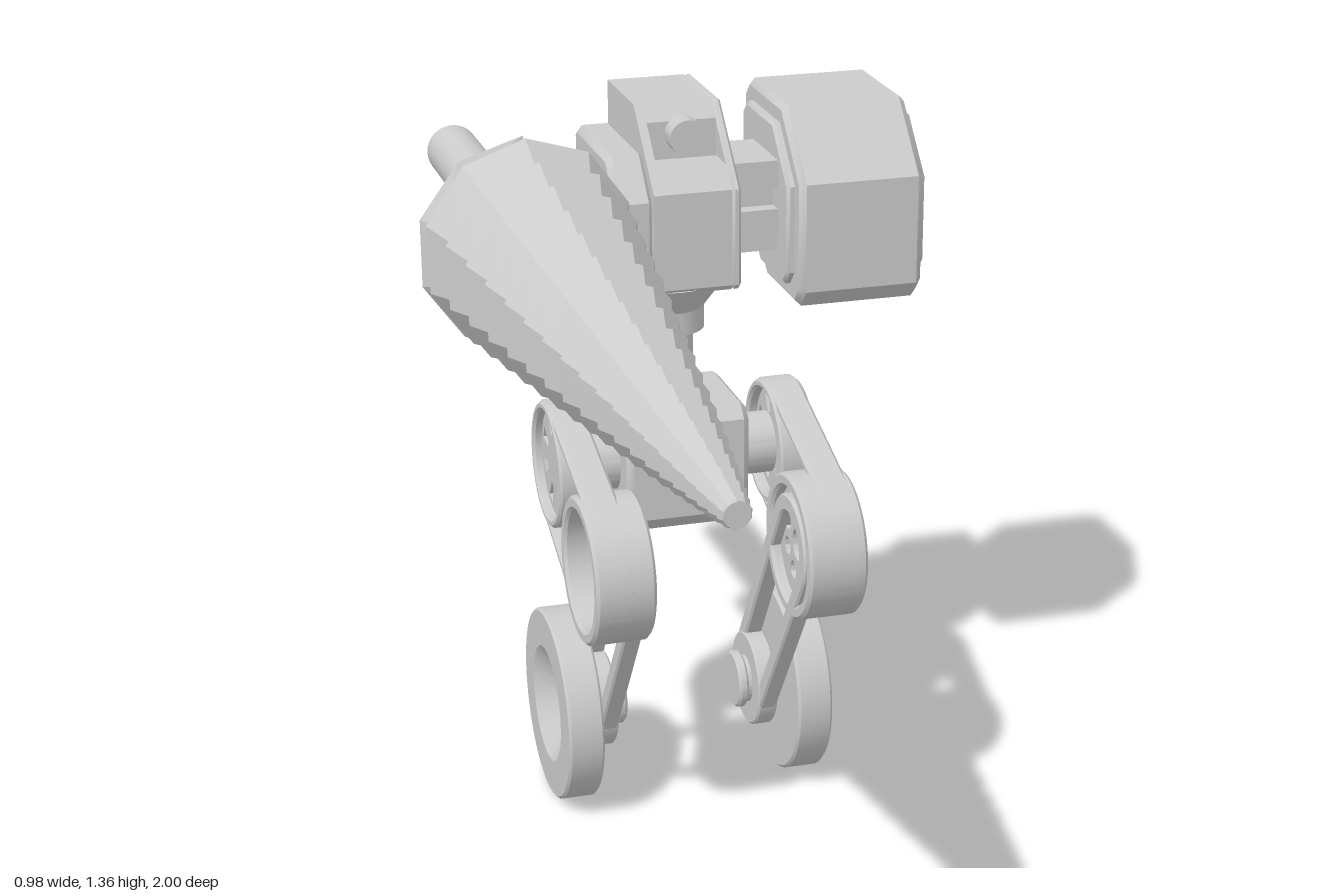
import * as THREE from 'three';
import { toCreasedNormals } from 'three/addons/utils/BufferGeometryUtils.js';

const grey = new THREE.MeshStandardMaterial({ color: 0xcccccc });
const greyFlat = new THREE.MeshStandardMaterial({ color: 0xcccccc, flatShading: true, side: THREE.DoubleSide });

function part(parent, name, geo, material = grey) {
  const mesh = new THREE.Mesh(material === grey ? toCreasedNormals(geo, 0.6) : geo, material);
  mesh.name = name;
  parent.add(mesh);
  return mesh;
}

// Side profiles are given as [z, y]; shapes are drawn with -z along their x.
const sideShape = pts => new THREE.Shape(pts.map(([z, y]) => new THREE.Vector2(-z, y)));

// Extrude a side shape between two x positions, with an optional bevel.
function slab(shape, xa, xb, bevel = 0) {
  const x0 = Math.min(xa, xb), w = Math.abs(xb - xa);
  const geo = new THREE.ExtrudeGeometry(shape, {
    depth: w - 2 * bevel, curveSegments: 24, bevelEnabled: bevel > 0,
    bevelSize: bevel, bevelThickness: bevel, bevelOffset: -bevel, bevelSegments: 1,
  });
  return geo.translate(0, 0, bevel).rotateY(Math.PI / 2).translate(x0, 0, 0);
}

function box(x0, x1, y0, y1, z0, z1) {
  return new THREE.BoxGeometry(x1 - x0, y1 - y0, z1 - z0)
    .translate((x0 + x1) / 2, (y0 + y1) / 2, (z0 + z1) / 2);
}

function disc([z, y], r, holeR = 0) {
  const s = new THREE.Shape().absarc(-z, y, r, 0, Math.PI * 2);
  if (holeR) s.holes.push(new THREE.Path().absarc(-z, y, holeR, 0, Math.PI * 2));
  return s;
}

// Outline wrapped around two circles, like a belt round two pulleys.
function wrap(path, [za, ya], ra, [zb, yb], rb) {
  const dx = za - zb, dy = yb - ya;
  const dir = Math.atan2(dy, dx), a = Math.acos((ra - rb) / Math.hypot(dx, dy));
  path.absarc(-zb, yb, rb, dir - a, dir + a);
  path.absarc(-za, ya, ra, dir + a, dir - a + Math.PI * 2);
  path.closePath();
  return path;
}

function belt(a, ra, b, rb, t) {
  const s = wrap(new THREE.Shape(), a, ra, b, rb);
  s.holes.push(wrap(new THREE.Path(), a, ra - t, b, rb - t));
  return s;
}

const hip = [-0.415, 0.695], knee = [-0.14, 0.59], hub = [-0.405, 0.195];

function makeLeg(s) {
  const g = new THREE.Group();
  g.name = s > 0 ? 'leftLeg' : 'rightLeg';
  const add = (name, shape, a, b, bevel) => part(g, name, slab(shape, s * a, s * b, bevel));

  add('hipAxle', disc([-0.415, 0.695], 0.06), 0.11, 0.19);
  add('upperLegBelt', belt(hip, 0.125, knee, 0.14, 0.02), 0.185, 0.25, 0.006);
  add('hipRing', disc(hip, 0.122, 0.105), 0.18, 0.253, 0.005);
  add('kneeDrum', disc(knee, 0.14, 0.113), 0.145, 0.258, 0.006);

  // Hip pulley with radial slots, knee pulley with round holes
  const slotted = disc(hip, 0.108), pierced = disc(knee, 0.116, 0.032);
  for (let i = 0; i < 8; i++) {
    const a = (i + 0.5) * Math.PI / 4, c = Math.cos(a), d = Math.sin(a);
    const at = (r, w) => new THREE.Vector2(-hip[0] + r * c - w * d, hip[1] + r * d + w * c);
    slotted.holes.push(new THREE.Path([at(0.055, -0.007), at(0.092, -0.013), at(0.092, 0.013), at(0.055, 0.007)]));
    pierced.holes.push(new THREE.Path().absarc(-knee[0] + 0.066 * c, knee[1] + 0.066 * d, 0.017, 0, Math.PI * 2));
  }
  add('hipPulley', slotted, 0.2, 0.235);
  add('kneePulley', pierced, 0.165, 0.205);

  // Twin-bar lower leg, axle and dished wheel
  add('lowerLeg', belt(knee, 0.1, hub, 0.09, 0.034), 0.145, 0.18, 0.004);
  add('hubRing', disc(hub, 0.095, 0.045), 0.143, 0.182, 0.004);
  add('wheelAxle', disc(hub, 0.048), 0.13, 0.2);
  add('axleCap', disc(hub, 0.057), 0.115, 0.135, 0.005);
  const profile = [[0, 0.195], [0.185, 0.195], [0.19, 0.2], [0.19, 0.26], [0.185, 0.265], [0.115, 0.265], [0.047, 0.215], [0, 0.215]];
  const wheel = new THREE.LatheGeometry(profile.map(p => new THREE.Vector2(...p)), 48);
  part(g, 'wheel', wheel.rotateZ(-s * Math.PI / 2).translate(0, hub[1], hub[0]));
  g.position.x = -0.005;
  return g;
}

// Ten-sided drill cone: one sawtooth thread wound round the z axis with a pitch that grows to the rear.
function makeDrill() {
  const g = new THREE.Group();
  g.name = 'drill';
  const sides = 10, turns = 19, back = -0.335;
  const zAt = t => Math.min(1, Math.max(back, 1 - 0.025 * t - 0.045 * t * t / turns));
  const rAt = z => 0.02 + 0.157 * Math.pow((1 - z) / (1 - back), 0.9);
  const vertex = (i, crest) => {
    const t = i / sides, a = Math.PI / 2 - t * Math.PI * 2;
    const z = crest ? zAt(t + 0.92) : zAt(t);
    const r = rAt(z) * (crest ? 1.15 : 1);
    return [r * Math.cos(a), r * Math.sin(a), z];
  };
  const pos = [];
  const quad = (a, b, c, d) => pos.push(...a, ...b, ...c, ...a, ...c, ...d);
  for (let i = -sides; i < turns * sides; i++) {
    const v0 = vertex(i, false), v1 = vertex(i + 1, false), c0 = vertex(i, true), c1 = vertex(i + 1, true);
    quad(v0, v1, c1, c0);
    quad(c0, c1, vertex(i + sides + 1, false), vertex(i + sides, false));
  }
  const geo = new THREE.BufferGeometry();
  geo.setAttribute('position', new THREE.Float32BufferAttribute(pos, 3));
  geo.computeVertexNormals();
  part(g, 'drillThread', geo, greyFlat);

  // Hollow inside with a thin rim, and the blunt tip
  const inner = [[0.18, back], [0.163, back], [0.02, 0.9]].map(p => new THREE.Vector2(...p));
  part(g, 'drillLining', new THREE.LatheGeometry(inner, 30).rotateX(Math.PI / 2), greyFlat);
  part(g, 'drillTip', new THREE.CylinderGeometry(0.021, 0.024, 0.04, 16).rotateX(Math.PI / 2).translate(0, 0, 0.98));
  part(g, 'driveRod', new THREE.CylinderGeometry(0.052, 0.052, 1.1, 32).rotateX(Math.PI / 2).translate(0, 0, -0.45));
  g.position.set(-0.3, 1.16, 0);
  return g;
}

function makeHead() {
  const g = new THREE.Group();
  g.name = 'head';
  const outline = [[-0.35, 1.04], [-0.35, 1.225], [-0.49, 1.363], [-0.685, 1.363], [-0.685, 1.16], [-0.57, 1.03], [-0.36, 1.03]];
  const notched = [[-0.352, 1.04], [-0.352, 1.225], [-0.388, 1.262], [-0.46, 1.262], [-0.46, 1.334], [-0.49, 1.363],
    [-0.685, 1.363], [-0.685, 1.16], [-0.57, 1.03], [-0.36, 1.03]];
  const lower = [[-0.36, 1.04], [-0.36, 1.21], [-0.43, 1.285], [-0.66, 1.285], [-0.675, 1.27], [-0.675, 1.16], [-0.56, 1.035], [-0.37, 1.035]];
  part(g, 'headRightCheek', slab(sideShape(outline), -0.055, -0.038));
  part(g, 'headCore', slab(sideShape(notched), -0.038, 0.096));
  part(g, 'headLeftCheek', slab(sideShape(outline), 0.096, 0.113, 0.005));
  part(g, 'headSidePod', slab(sideShape(lower), -0.125, -0.05, 0.012));
  part(g, 'eye', new THREE.CylinderGeometry(0.034, 0.034, 0.05, 24).rotateX(Math.PI / 2).translate(0.03, 1.31, -0.445));

  // Clamp arm reaching out to the drive rod
  const arm = new THREE.Shape([[-0.365, 0.48], [-0.235, 0.48], [-0.12, 0.44], [-0.12, 0.65], [-0.235, 0.605], [-0.365, 0.605]]
    .map(p => new THREE.Vector2(...p)));
  for (const y of [1.09, 1.2]) {
    const plate = new THREE.ExtrudeGeometry(arm, { depth: 0.035, bevelEnabled: false });
    part(g, 'clampPlate', plate.rotateX(-Math.PI / 2).translate(0, y, 0));
  }
  part(g, 'clampBlock', box(-0.255, -0.12, 1.115, 1.21, -0.595, -0.49));
  part(g, 'clampEnd', box(-0.365, -0.34, 1.1, 1.225, -0.6, -0.485));
  part(g, 'clampBrace', box(-0.235, -0.12, 1.1, 1.18, -0.445, -0.365));

  // Motor on the other side, carried by rails
  part(g, 'motorUpperRail', box(0.11, 0.23, 1.19, 1.245, -0.61, -0.45));
  part(g, 'motorCoreRail', box(0.11, 0.23, 1.15, 1.19, -0.58, -0.48));
  part(g, 'motorLowerRail', box(0.11, 0.23, 1.07, 1.15, -0.61, -0.45));
  const casing = k => sideShape([[-0.355, 1.01], [-0.355, 1.22], [-0.475, 1.345], [-0.69, 1.345], [-0.72, 1.315],
    [-0.72, 1.13], [-0.57, 0.975], [-0.385, 0.975]]
    .map(([z, y]) => [-0.5375 + (z + 0.5375) * k, 1.16 + (y - 1.16) * k]));
  part(g, 'motorCasing', slab(casing(1), 0.23, 0.475, 0.012));
  part(g, 'motorEndPlates', slab(casing(0.8), 0.215, 0.49, 0.006));
  return g;
}

export function createModel() {
  const model = new THREE.Group();
  model.name = 'drillWalker';
  model.add(makeHead(), makeDrill(), makeLeg(1), makeLeg(-1));

  // Neck: funnel, collar and post
  const rings = [[0, 0.8], [0.053, 0.8], [0.053, 0.935], [0.075, 0.935], [0.075, 0.98], [0.115, 1.035], [0, 1.035]];
  part(model, 'neck', new THREE.LatheGeometry(rings.map(p => new THREE.Vector2(...p)), 32).translate(-0.005, 0, -0.465));

  // Hip body
  const body = [[-0.3, 0.605], [-0.3, 0.79], [-0.325, 0.815], [-0.51, 0.815], [-0.535, 0.79], [-0.535, 0.65], [-0.47, 0.575], [-0.33, 0.575]];
  part(model, 'hipBody', slab(sideShape(body), -0.125, 0.115, 0.012));
  return model;
}
